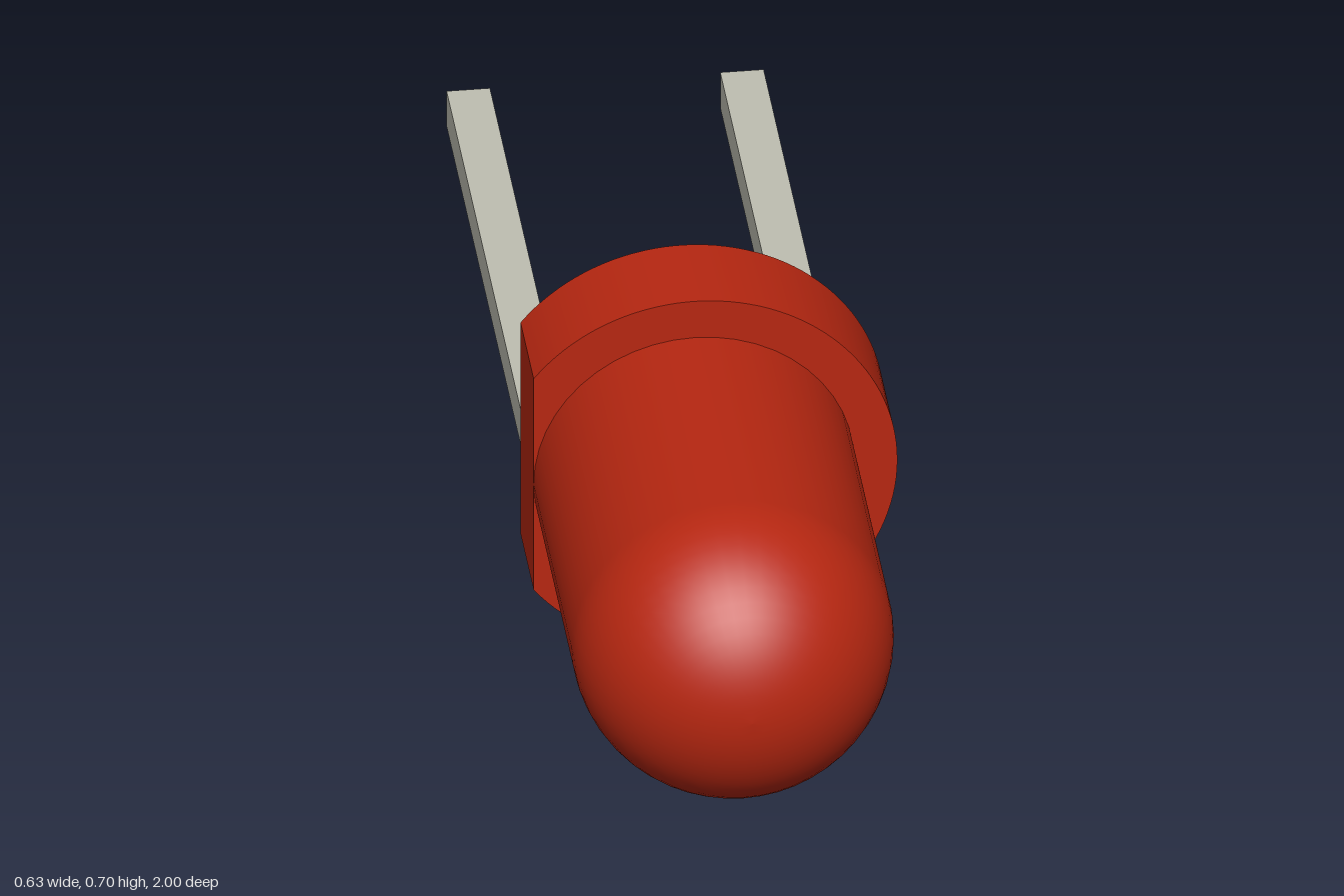
import * as THREE from 'three';
import { toCreasedNormals } from 'three/addons/utils/BufferGeometryUtils.js';

export function createModel() {
  const group = new THREE.Group();
  const red = new THREE.MeshStandardMaterial({ color: 0xb72711 });
  red.name = 'red plastic';
  const grey = new THREE.MeshStandardMaterial({ color: 0xbfbfb2 });
  grey.name = 'grey metal';

  const cx = -0.037, cy = 0.352;   // axis of the round body
  const lensR = 0.278, flangeR = 0.352;
  const backZ = 0.02, flangeZ = 0.2, domeZ = 0.722;

  const add = (name, geometry, material, x, y, z) => {
    const mesh = new THREE.Mesh(geometry, material);
    mesh.name = name;
    mesh.position.set(x, y, z);
    group.add(mesh);
    return mesh;
  };

  // Lens: straight barrel running smoothly into a hemispherical dome
  const profile = [new THREE.Vector2(lensR, flangeZ)];
  const steps = 16;
  for (let i = 0; i <= steps; i++) {
    const a = (i / steps) * Math.PI / 2;
    profile.push(new THREE.Vector2(i === steps ? 0 : lensR * Math.cos(a), domeZ + lensR * Math.sin(a)));
  }
  const lens = new THREE.LatheGeometry(profile, 48);
  lens.rotateX(Math.PI / 2);
  add('lens', lens, red, cx, cy, 0);

  // Flange: thick disc with one side cut flat, level with the lens
  const cut = Math.acos(-lensR / flangeR);
  const outline = new THREE.Shape();
  outline.absarc(0, 0, flangeR, -cut, cut, false);
  outline.closePath();
  const flange = new THREE.ExtrudeGeometry(outline, {
    depth: flangeZ - backZ, bevelEnabled: false, curveSegments: 48,
  });
  add('flange', toCreasedNormals(flange, 0.5), red, cx, cy, backZ);

  // Two square leads at the back
  const leadLength = backZ + 1;
  for (const [name, x] of [['rightLead', -0.277], ['leftLead', 0.197]]) {
    add(name, new THREE.BoxGeometry(0.075, 0.072, leadLength), grey, x, cy, backZ - leadLength / 2);
  }
  return group;
}
